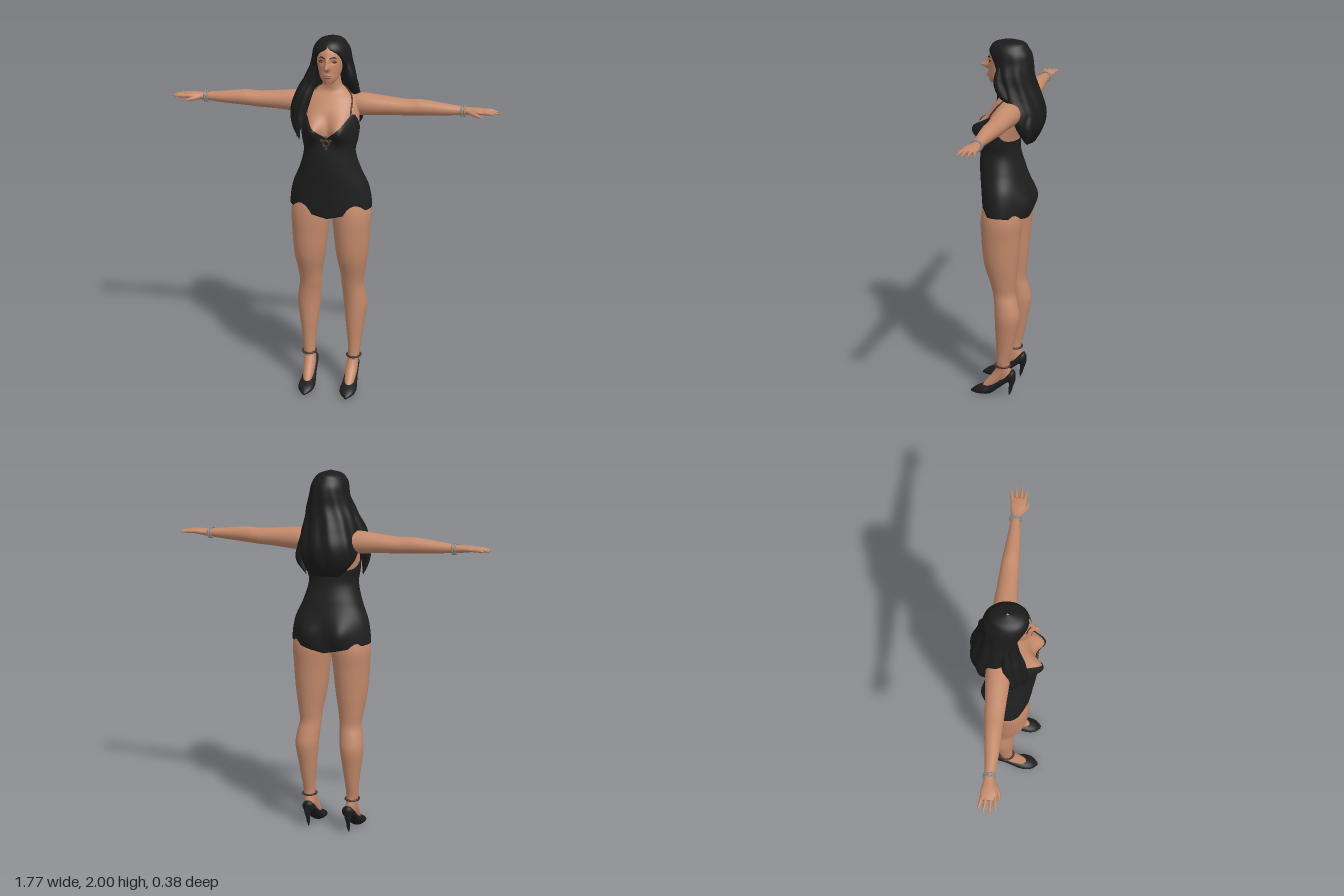
import * as THREE from 'three';
import { mergeVertices } from 'three/addons/utils/BufferGeometryUtils.js';

const mat = (name, color, side = THREE.FrontSide) => {
  const m = new THREE.MeshStandardMaterial({ color, side });
  m.name = name;
  return m;
};

// Smooth lookup in a table of rows [key, a, b, ...] with ascending keys
function sample(rows, k) {
  const n = rows.length;
  let i = 0;
  while (i < n - 2 && k > rows[i + 1][0]) i++;
  const a = rows[i], b = rows[i + 1], p = rows[Math.max(i - 1, 0)], q = rows[Math.min(i + 2, n - 1)];
  const h = b[0] - a[0], t = Math.min(1, Math.max(0, (k - a[0]) / h)), t2 = t * t, t3 = t2 * t;
  return a.slice(1).map((_, j) => {
    const c = j + 1;
    const m0 = (b[c] - p[c]) / (b[0] - p[0]) * h, m1 = (q[c] - a[c]) / (q[0] - a[0]) * h;
    return (2 * t3 - 3 * t2 + 1) * a[c] + (t3 - 2 * t2 + t) * m0 + (3 * t2 - 2 * t3) * b[c] + (t3 - t2) * m1;
  });
}

// Smooth surface from f(u, v) -> [x, y, z]; u runs round, v runs along
function surface(nu, nv, f) {
  const pos = [], idx = [], w = nu + 1;
  for (let j = 0; j <= nv; j++) for (let i = 0; i <= nu; i++) pos.push(...f(i / nu, j / nv));
  for (let j = 0; j < nv; j++) for (let i = 0; i < nu; i++) {
    const a = j * w + i;
    idx.push(a, a + 1, a + w + 1, a, a + w + 1, a + w);
  }
  const g = new THREE.BufferGeometry();
  g.setAttribute('position', new THREE.Float32BufferAttribute(pos, 3));
  g.setIndex(idx);
  const m = mergeVertices(g, 1e-4);
  m.computeVertexNormals();
  return m;
}

// Closed loft: ring(row values, key, angle) -> point, pinched shut at both ends
function loft(rows, nu, nv, ring) {
  const k0 = rows[0][0], k1 = rows[rows.length - 1][0];
  return surface(nu, nv + 2, (u, v) => {
    const s = v * (nv + 2), k = k0 + (k1 - k0) * Math.min(1, Math.max(0, (s - 1) / nv));
    const pinch = s < 0.5 || s > nv + 1.5 ? 0 : 1;
    return ring(sample(rows, k), k, u * Math.PI * 2, pinch);
  });
}

// Tapered tube through points [x, y, z, radius]
function sweep(pts, n = 24, sides = 10) {
  const curve = new THREE.CatmullRomCurve3(pts.map(p => new THREE.Vector3(p[0], p[1], p[2])));
  const g = new THREE.TubeGeometry(curve, n, 1, sides);
  const radii = pts.map((p, i) => [i / (pts.length - 1), p[3]]), v = new THREE.Vector3();
  for (let i = 0; i <= n; i++) {
    const c = curve.getPointAt(i / n), r = Math.max(0, sample(radii, i / n)[0]);
    for (let j = 0; j <= sides; j++) {
      const k = i * (sides + 1) + j;
      v.fromBufferAttribute(g.attributes.position, k).sub(c).multiplyScalar(r).add(c);
      g.attributes.position.setXYZ(k, v.x, v.y, v.z);
    }
  }
  return g;
}

function mirror(geo) {
  const g = geo.clone().scale(-1, 1, 1), a = g.index.array;
  for (let i = 0; i < a.length; i += 3) [a[i], a[i + 1]] = [a[i + 1], a[i]];
  g.computeVertexNormals();
  return g;
}

// Trunk and head: y, half width, front z, back z
const TRUNK = [[1.0, .205, .12, -.1], [1.09, .217, .13, -.102], [1.2, .2, .14, -.1], [1.3, .158, .15, -.078],
  [1.4, .132, .148, -.05], [1.47, .145, .132, -.05], [1.55, .152, .118, -.07], [1.62, .148, .1, -.088],
  [1.68, .125, .06, -.09], [1.71, .085, .035, -.08], [1.74, .052, .035, -.062], [1.84, .043, .05, -.05]];
const HEAD = [[1.765, .022, .105, .05], [1.79, .045, .112, 0], [1.82, .058, .113, -.04], [1.86, .069, .113, -.07],
  [1.9, .074, .113, -.08], [1.94, .068, .1, -.08], [1.975, .045, .065, -.05], [1.988, .015, .02, -.02]];
const bump = (x, y, x0, y0, sx, sy) => Math.exp(-(((x - x0) / sx) ** 2) - ((y - y0) / sy) ** 2);

function trunkPoint(th, y, grow = 0) {
  const [rx, zf, zb] = sample(TRUNK, y), c = Math.cos(th), x = rx * Math.sin(th), ax = Math.abs(x);
  const push = c > 0 ? .082 * bump(ax, y, .078, 1.525, .052, .06) : .04 * bump(ax, y, .095, 1.13, .065, .075);
  const zc = (zf + zb) / 2;
  return [x + grow * Math.sin(th), y, zc + ((zf - zb) / 2 + push + grow) * c];
}
function headPoint(th, y) {
  const [rx, zf, zb] = sample(HEAD, y), x = rx * Math.sin(th), c = Math.cos(th);
  let z = (zf + zb) / 2 + (zf - zb) / 2 * c;
  if (c > 0) z += .042 * bump(x, y, 0, 1.855, .012, .014) + .018 * bump(x, y, 0, 1.878, .009, .022)
    - .008 * bump(Math.abs(x), y, .03, 1.883, .016, .012) + .006 * bump(x, y, 0, 1.808, .02, .012);
  return [x, y, z];
}
const faceAt = (x, y) => headPoint(Math.asin(x / sample(HEAD, y)[0]), y);

// Dress top edge by angle from the front, in degrees
const NECKLINE = [[0, 1.485], [28, 1.55], [50, 1.602], [62, 1.598], [90, 1.53], [120, 1.485], [180, 1.47]];

// Leg: y, centre x, centre z, half width, half depth
const LEG = [[.1, .12, 0, .027, .036], [.14, .122, 0, .03, .042], [.2, .127, .005, .032, .036], [.28, .129, -.004, .038, .045],
  [.38, .13, -.012, .051, .057], [.49, .131, -.02, .064, .068], [.56, .125, -.012, .063, .064], [.62, .117, 0, .06, .061],
  [.68, .118, .005, .066, .07], [.8, .117, .017, .086, .094], [.95, .114, .018, .1, .107], [1.05, .111, .014, .106, .112],
  [1.16, .1, .012, .09, .095]];
// Arm: x, centre y, centre z, half height, half depth
const ARM = [[.07, 1.64, -.035, .04, .045], [.14, 1.635, -.035, .059, .06], [.2, 1.635, -.032, .058, .061],
  [.3, 1.634, -.03, .049, .054], [.4, 1.632, -.029, .043, .048], [.47, 1.636, -.027, .042, .044], [.6, 1.633, -.023, .031, .033],
  [.69, 1.632, -.024, .022, .025], [.72, 1.632, -.022, .02, .029], [.77, 1.635, -.018, .016, .041], [.812, 1.634, -.018, .01, .038]];
// Shoe: z, bottom y, top y, half width
const SHOE = [[-.063, .125, .145, .01], [-.05, .095, .162, .03], [-.02, .085, .145, .035], [.03, .045, .1, .037],
  [.08, .006, .068, .043], [.12, 0, .055, .046], [.16, 0, .038, .036], [.192, .002, .014, .008]];
// Hair shell: y, centre x, half width, centre z, depth behind, depth in front, half sweep in degrees
const HAIR = [[1.45, -.01, .07, -.1, .03, .04, 80], [1.5, -.01, .13, -.085, .075, .05, 82], [1.55, -.01, .158, -.07, .112, .05, 88],
  [1.62, -.01, .165, -.05, .137, .05, 92], [1.7, -.01, .15, -.03, .135, .07, 102], [1.76, -.008, .137, -.02, .125, .07, 115],
  [1.82, 0, .122, -.01, .12, .08, 127], [1.88, 0, .106, -.008, .118, .1, 137], [1.925, 0, .098, -.005, .113, .112, 152],
  [1.955, 0, .085, 0, .1, .102, 178], [1.985, 0, .055, 0, .075, .072, 180], [2.0, 0, .004, 0, .006, .006, 180]];

export function createModel() {
  const skin = mat('skin', 0xc48a6b), cloth = mat('black cloth', 0x1f1f20, THREE.DoubleSide);
  const hairMat = mat('black hair', 0x1b1b1c, THREE.DoubleSide), leather = mat('black leather', 0x1d1d1e);
  const metal = mat('silver', 0x8c8c8a), bronze = mat('dark bronze', 0x44342b);
  const lipMat = mat('lips', 0x9a5c4a), iris = mat('amber eyes', 0x9c4a20), lash = mat('lashes', 0x2c1c16);
  const model = new THREE.Group();
  const add = (name, geo, m) => {
    const mesh = new THREE.Mesh(geo, m);
    mesh.name = name;
    model.add(mesh);
    return mesh;
  };
  const pair = (name, geo, m) => { add('left' + name, geo, m); add('right' + name, mirror(geo), m); };
  const blob = (p, sx, sy, sz) => new THREE.SphereGeometry(1, 16, 10).scale(sx, sy, sz).translate(...p);
  const TAU = Math.PI * 2;

  // Upper body, neck and head
  add('torso', surface(80, 50, (u, v) => trunkPoint(u * TAU, 1.42 + .42 * v)), skin);
  add('head', loft(HEAD, 96, 64, (r, y, a, open) => open ? headPoint(a, y) : [0, y, (r[1] + r[2]) / 2]), skin);

  // One-piece dress with a V neckline and a closed seat
  add('dress', surface(96, 60, (u, v) => {
    const th = u * TAU, deg = Math.abs(u > .5 ? u - 1 : u) * 360;
    if (v === 0) return [0, 1.035, .01];
    const low = 1.035 + .048 * Math.abs(Math.sin(th)), t = (v - 1 / 60) / (59 / 60);
    return trunkPoint(th, low + (sample(NECKLINE, deg)[0] - low) * t, .006);
  }), cloth);
  pair('Strap', sweep([[50, 1.595], [52, 1.63], [58, 1.665], [70, 1.695], [100, 1.725]].map(([d, y]) =>
    [...trunkPoint(d * Math.PI / 180, y, .003), .0045])), bronze);
  const [, , bz] = trunkPoint(0, 1.455, .012);
  add('clasp', new THREE.TorusGeometry(.016, .006, 8, 16).translate(0, 1.46, bz), bronze);
  for (const [x, y] of [[-.024, 1.475], [.024, 1.475], [0, 1.43], [0, 1.49]])
    add('claspBead', blob([x, y, bz], .009, .01, .007), bronze);

  // Face details
  for (const s of [-1, 1]) {
    const e = faceAt(s * .031, 1.884), at = dz => [e[0], e[1], e[2] + dz];
    add('eyeLine', blob(at(0), .0165, .0075, .004), lash);
    add('eye', blob(at(.0015), .012, .0045, .004), iris);
    add('brow', sweep([.012, .03, .048].map((x, i) => {
      const p = faceAt(s * x, [1.9, 1.908, 1.902][i]);
      return [p[0], p[1], p[2], [.003, .0035, .001][i]];
    }), 10, 6), lash);
  }
  for (const [y, h] of [[1.812, .004], [1.804, .005]]) add('lip', blob(faceAt(0, y), .021, h, .005), lipMat);

  // Legs, feet and shoes
  const oval = ([cx, cz, rx, rz], y, a, o) => [cx + o * rx * Math.sin(a), y, cz + o * rz * Math.cos(a)];
  pair('Leg', loft(LEG, 32, 72, oval), skin);
  pair('Foot', sweep([[.124, .18, .002, .03], [.121, .12, .035, .034], [.119, .065, .085, .031], [.118, .03, .125, .022], [.117, .02, .15, 0]]), skin);
  pair('Shoe', loft(SHOE, 28, 40, ([b, t, w], z, a, o) =>
    [.118 - o * w * Math.sin(a), Math.max(0, (b + t) / 2 + o * (t - b) / 2 * Math.cos(a)), z]), leather);
  pair('Heel', sweep([[.12, .13, -.042, .022], [.12, .09, -.043, .02], [.12, .045, -.036, .012], [.12, .003, -.028, .009], [.12, 0, -.028, 0]]), leather);
  pair('Anklet', new THREE.TorusGeometry(.037, .006, 8, 28).rotateX(Math.PI / 2).scale(1, 1, 1.1).translate(.127, .19, .005), bronze);

  // Arms, hands and bracelets
  pair('Arm', loft(ARM, 28, 64, ([cy, cz, ry, rz], x, a, o) => [x, cy + o * ry * Math.cos(a), cz + o * rz * Math.sin(a)]), skin);
  for (const [z0, tipX, tipZ] of [[-.047, .862, -.062], [-.028, .884, -.036], [-.007, .887, -.005], [.012, .87, .02]])
    pair('Finger', sweep([[.785, 1.634, z0, .009], [.825, 1.634, (z0 + tipZ) / 2, .0095], [tipX - .008, 1.63, tipZ, .007], [tipX, 1.629, tipZ, 0]], 14, 8), skin);
  pair('Thumb', sweep([[.725, 1.63, 0, .012], [.76, 1.623, .022, .012], [.79, 1.616, .034, .009], [.806, 1.613, .037, 0]], 14, 8), skin);
  for (const x of [.684, .698])
    pair('Bracelet', new THREE.TorusGeometry(.028, .005, 8, 28).rotateY(Math.PI / 2).translate(x, 1.632, -.024), metal);

  // Long wavy hair: shell round the head and back, edges folded inward
  const N = 96;
  add('hair', surface(N, 70, (u, v) => {
    const y = 1.45 + .55 * v, [cx, w, zc, db, df, deg] = sample(HAIR, y);
    if (v === 0) return [cx, 1.47, -.075];
    const th = (u * 2 - 1) * Math.min(180, deg) * Math.PI / 180, c = Math.cos(th);
    const fade = Math.min(1, Math.max(0, (1.96 - y) / .2)) * Math.min(1, (180 - Math.min(180, deg)) / 30);
    const wave = 1 + .025 * fade * Math.sin(11 * th + 14 * y);
    const edge = (u < .5 / N || u > 1 - .5 / N) && deg < 170 ? .65 : 1;
    return [cx - w * wave * edge * Math.sin(th), y, zc - (c > 0 ? db : df) * wave * c - (edge < 1 ? .012 : 0)];
  }), hairMat);

  // Locks falling over the shoulders
  const locks = [
    [[-.085, 1.87, .03, .012], [-.115, 1.76, .035, .03], [-.148, 1.69, .05, .035], [-.168, 1.6, .058, .037], [-.175, 1.52, .058, .024], [-.16, 1.45, .06, 0]],
    [[-.078, 1.85, .045, .008], [-.098, 1.75, .05, .02], [-.122, 1.68, .072, .026], [-.145, 1.6, .088, .028], [-.152, 1.53, .1, .018], [-.172, 1.47, .09, 0]],
    [[-.11, 1.8, 0, .015], [-.155, 1.7, .015, .03], [-.188, 1.61, .035, .028], [-.19, 1.53, .045, .016], [-.165, 1.44, .05, 0]],
    [[.085, 1.87, .03, .012], [.108, 1.79, .03, .028], [.118, 1.73, 0, .027], [.115, 1.67, -.06, 0]],
    [[.1, 1.62, -.13, .03], [.12, 1.55, -.125, .025], [.09, 1.46, -.12, 0]],
    [[-.05, 1.62, -.155, .03], [-.03, 1.54, -.145, .03], [-.04, 1.46, -.125, 0]],
  ];
  for (const l of locks) add('hairLock', sweep(l, 28, 10), hairMat);

  return model;
}
